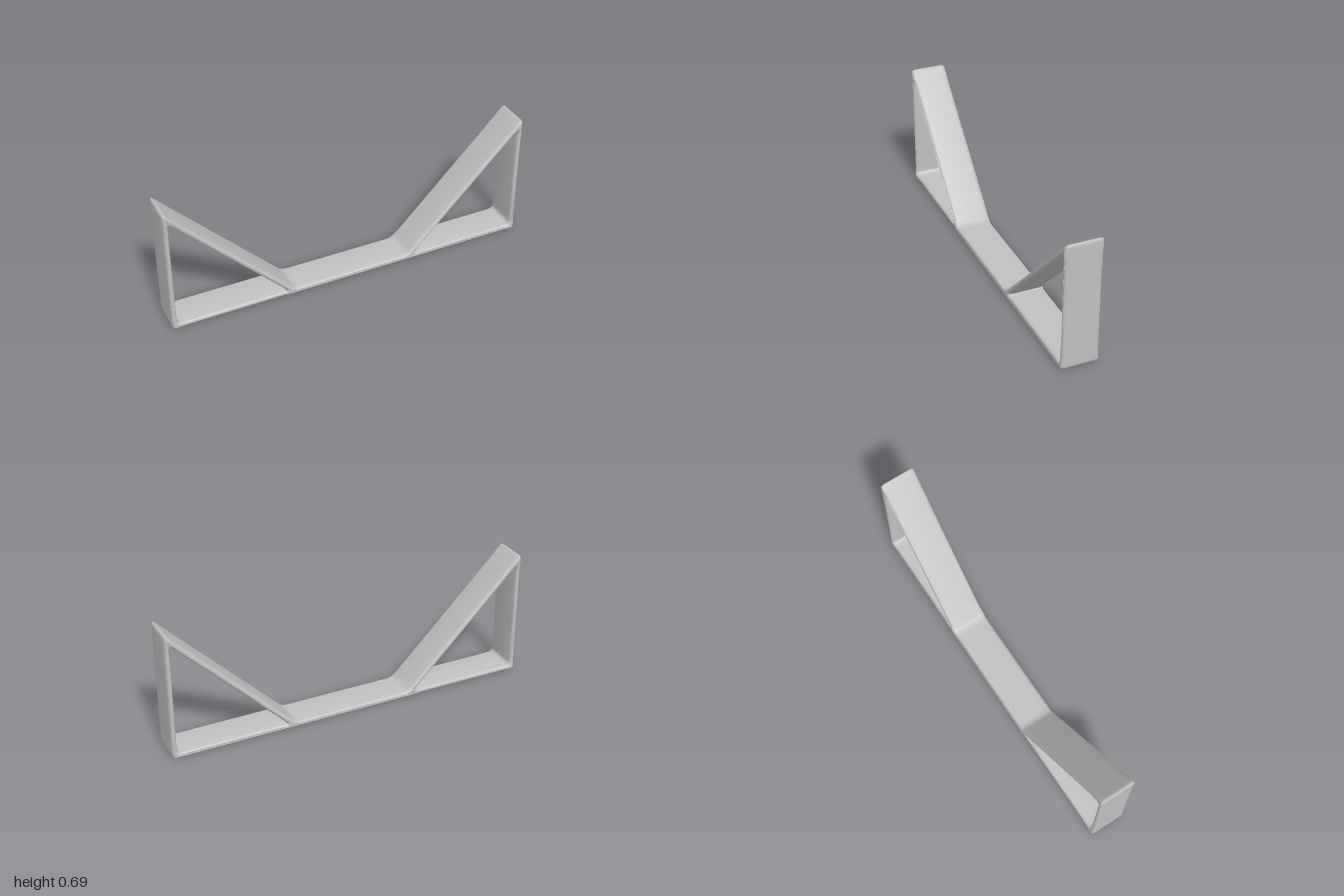
import * as THREE from 'three';
import { toCreasedNormals } from 'three/addons/utils/BufferGeometryUtils.js';

// Closed outline with rounded corners; each corner is [x, y, cut length].
// Straight runs are subdivided so that the joints can swell locally.
function roundedOutline(corners) {
  const pts = [];
  const n = corners.length;
  const V = (c) => new THREE.Vector2(c[0], c[1]);
  const toward = (a, b, d) => V(a).add(V(b).sub(V(a)).setLength(d));
  for (let i = 0; i < n; i++) {
    const c = corners[i], prev = corners[(i + n - 1) % n], next = corners[(i + 1) % n];
    const arc = new THREE.QuadraticBezierCurve(toward(c, prev, c[2]), V(c), toward(c, next, c[2]));
    pts.push(...arc.getPoints(6));
    const start = toward(c, next, c[2]);
    const end = toward(next, c, next[2]);
    const steps = Math.max(1, Math.round(start.distanceTo(end) / 0.03));
    for (let k = 1; k < steps; k++) pts.push(start.clone().lerp(end, k / steps));
  }
  return pts;
}

export function createModel() {
  const group = new THREE.Group();
  group.name = 'bracedFrame';
  const grey = new THREE.MeshStandardMaterial({ color: 0xc0c0c0 });
  grey.name = 'grey';

  // Silhouette: flat base, two uprights and two 45 degree braces
  const outer = roundedOutline([
    [-1, 0, 0.022], [1, 0, 0.022], [1, 0.705, 0.03],
    [0.328, 0.03, 0.025], [-0.328, 0.03, 0.025], [-1, 0.705, 0.03],
  ]);
  const shape = new THREE.Shape(outer);

  // Triangular openings between brace, upright and base
  for (const s of [1, -1]) {
    const hole = roundedOutline([
      [s * 0.372, 0.03, 0.012], [s * 0.972, 0.03, 0.022], [s * 0.972, 0.632, 0.014],
    ]);
    shape.holes.push(new THREE.Path(hole));
  }

  // Sweep through the depth with softly rounded edges
  const half = 0.095, round = 0.024, edge = 0.011;
  let geo = new THREE.ExtrudeGeometry(shape, {
    depth: 2 * (half - round), steps: 1, curveSegments: 6,
    bevelEnabled: true, bevelThickness: round, bevelSize: edge,
    bevelOffset: -edge, bevelSegments: 5,
  });
  geo.translate(0, 0, -(half - round));

  // Slight swelling of the edges at the joints
  const joints = [[0.985, 0.015], [0.985, 0.655], [0.35, 0.025]];
  const pos = geo.attributes.position;
  for (let i = 0; i < pos.count; i++) {
    const x = Math.abs(pos.getX(i)), y = pos.getY(i);
    let swell = 0;
    for (const [jx, jy] of joints) {
      swell = Math.max(swell, Math.exp(-(((x - jx) ** 2 + (y - jy) ** 2) / 0.0012)));
    }
    pos.setZ(i, pos.getZ(i) * (1 + 0.05 * swell));
  }
  geo.deleteAttribute('uv');
  geo.clearGroups();
  geo = toCreasedNormals(geo, 0.7);

  const frame = new THREE.Mesh(geo, grey);
  frame.name = 'frame';
  group.add(frame);
  return group;
}
